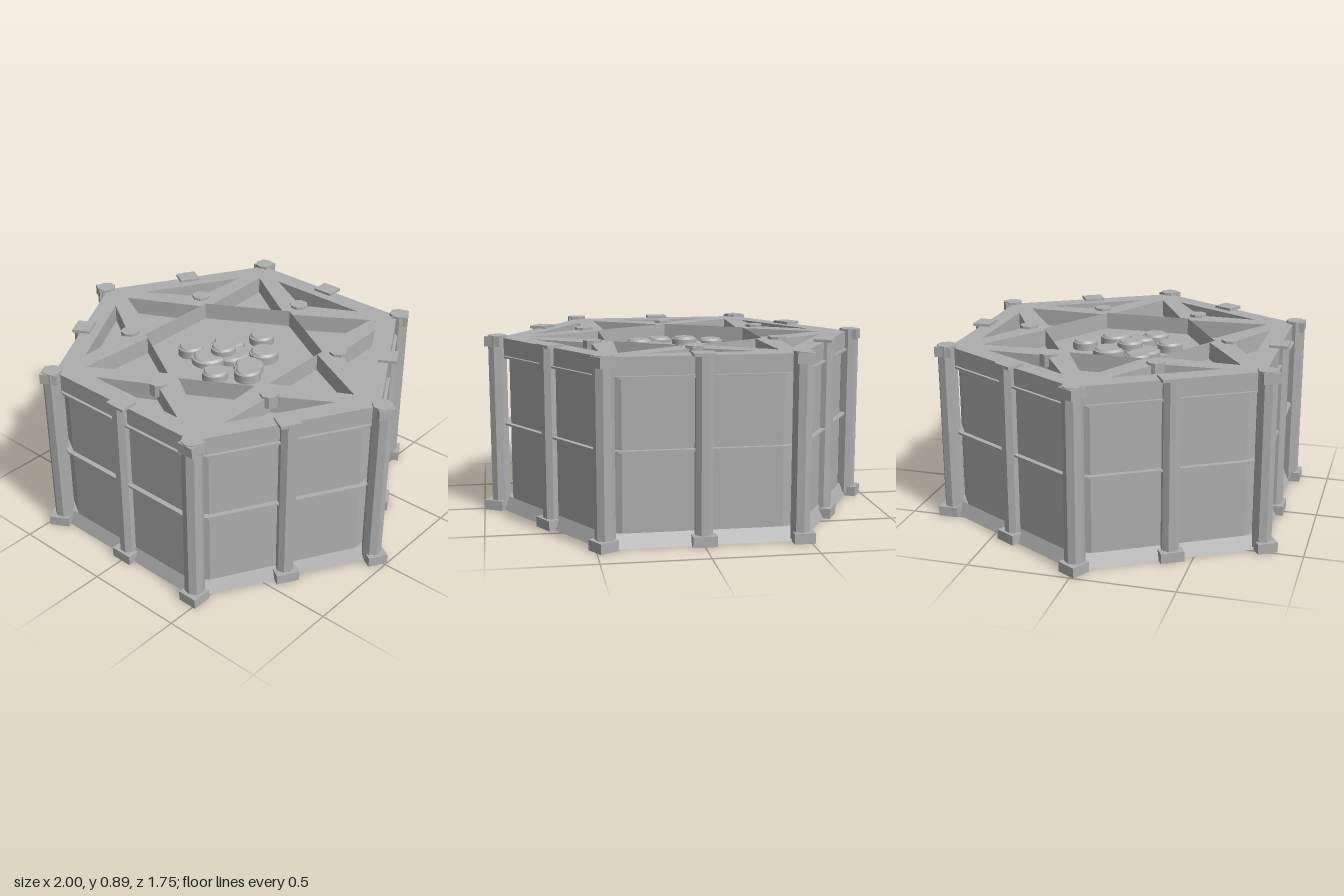
import * as THREE from 'three';

const TAU = Math.PI * 2;

// Hexagon outline with corners on the x axis and optional cut corners
function hexPoints(apothem, cut = 0) {
  const pts = [], half = apothem / Math.sqrt(3);
  for (let k = 0; k < 6; k++) {
    const a = (k + 0.5) * TAU / 6, c = Math.cos(a), s = Math.sin(a);
    const ends = cut ? [-(half - cut), half - cut] : [half];
    for (const t of ends) pts.push(new THREE.Vector2(apothem * c - t * s, apothem * s + t * c));
  }
  return pts;
}

// Flat plate standing on y0, with optional holes
function plate(points, y0, y1, holes = []) {
  const shape = new THREE.Shape(points);
  for (const h of holes) shape.holes.push(new THREE.Path(h));
  const g = new THREE.ExtrudeGeometry(shape, { depth: y1 - y0, bevelEnabled: false });
  g.rotateX(-Math.PI / 2);
  g.translate(0, y0, 0);
  return g;
}

function turned(points, angle) {
  return points.map(([x, y]) => new THREE.Vector2(x, y).rotateAround(new THREE.Vector2(), angle));
}

export function createModel() {
  const model = new THREE.Group();
  const grey = new THREE.MeshStandardMaterial({ color: 0xaeaeae });
  grey.name = 'grey';
  const flat = grey;

  function add(name, geometry, parent = model, x = 0, y = 0, z = 0) {
    const m = new THREE.Mesh(geometry, flat);
    m.name = name;
    m.position.set(x, y, z);
    parent.add(m);
    return m;
  }

  // Faceted post: separate normals on each side
  const post = (r, h, sides) => {
    const g = new THREE.CylinderGeometry(r, r, h, sides).toNonIndexed();
    g.rotateY(Math.PI / sides);
    g.computeVertexNormals();
    return g;
  };

  // Walls with cut corners
  add('walls', plate(hexPoints(0.77, 0.07), 0.01, 0.79));

  // Sloping skirt at the foot
  const skirt = new THREE.CylinderGeometry(0.77 / Math.cos(TAU / 12), 0.80 / Math.cos(TAU / 12), 0.065, 6).toNonIndexed();
  skirt.rotateY(Math.PI / 2);
  skirt.computeVertexNormals();
  add('skirt', skirt, model, 0, 0.0325, 0);

  // Thin ledges round the walls
  for (const y of [0.45, 0.79]) add('ledge', plate(hexPoints(0.795, 0.07), y - 0.005, y + 0.005));

  // Roof lattice: a hexagonal well, six corner pockets and six edge pockets
  const holes = [];
  const well = [];
  for (let k = 0; k < 6; k++) {
    const a = k * TAU / 6;
    well.push(turned([[0.39, 0.225]], a)[0]);
    holes.push(turned([[0.39, -0.185], [0.75, 0], [0.39, 0.185]], a));
    holes.push(turned([[0.455, 0], [0.685, -0.27], [0.685, 0.27]].map(
      ([x, y]) => [x === 0.455 ? 0.54 : x, y]), a + TAU / 12));
  }
  holes.push(well);
  add('roofLattice', plate(hexPoints(0.78), 0.79, 0.882, holes));

  // Posts, feet and studs, repeated on six sides
  for (let k = 0; k < 6; k++) {
    const corner = new THREE.Group();
    corner.name = 'cornerPost';
    corner.rotation.y = -k * TAU / 6;
    model.add(corner);
    add('cornerShaft', post(0.049, 0.88, 8), corner, 0.913, 0.455, 0);
    add('cornerFoot', new THREE.BoxGeometry(0.1, 0.05, 0.1), corner, 0.93, 0.025, 0)
      .rotation.y = -TAU / 12;
    add('cornerCap', new THREE.BoxGeometry(0.085, 0.05, 0.085), corner, 0.92, 0.865, 0)
      .rotation.y = -TAU / 12;

    const side = new THREE.Group();
    side.name = 'sidePost';
    side.rotation.y = -(k + 0.5) * TAU / 6;
    model.add(side);
    add('sideShaft', post(0.044, 0.88, 8), side, 0.78, 0.455, 0);
    add('sideFoot', new THREE.BoxGeometry(0.1, 0.05, 0.115), side, 0.785, 0.025, 0);
    add('sideCap', new THREE.BoxGeometry(0.09, 0.015, 0.105), side, 0.775, 0.8875, 0);
    add('latticeStud', post(0.046, 0.06, 8), side, 0.53, 0.865, 0);
  }

  // Cluster of round caps in the well: x, z, radius, height
  const caps = [
    [0, -0.225, 0.064, 0.04], [-0.09, -0.07, 0.084, 0.035], [0.12, -0.1, 0.074, 0.045],
    [0, 0, 0.09, 0.03], [-0.04, 0.025, 0.064, 0.065], [-0.19, 0.105, 0.064, 0.045],
    [-0.07, 0.1, 0.088, 0.032], [0.065, 0.205, 0.064, 0.042], [0.185, 0.1, 0.066, 0.048],
    [0.14, 0.04, 0.074, 0.037],
  ];
  for (const [x, z, r, h] of caps) {
    add('roundCap', new THREE.CylinderGeometry(r, r, h, 20), model, x, 0.79 + h / 2, z);
    add('roundCapTop', new THREE.CylinderGeometry(r * 0.78, r * 0.9, 0.01, 20), model, x, 0.795 + h, z);
  }
  return model;
}
